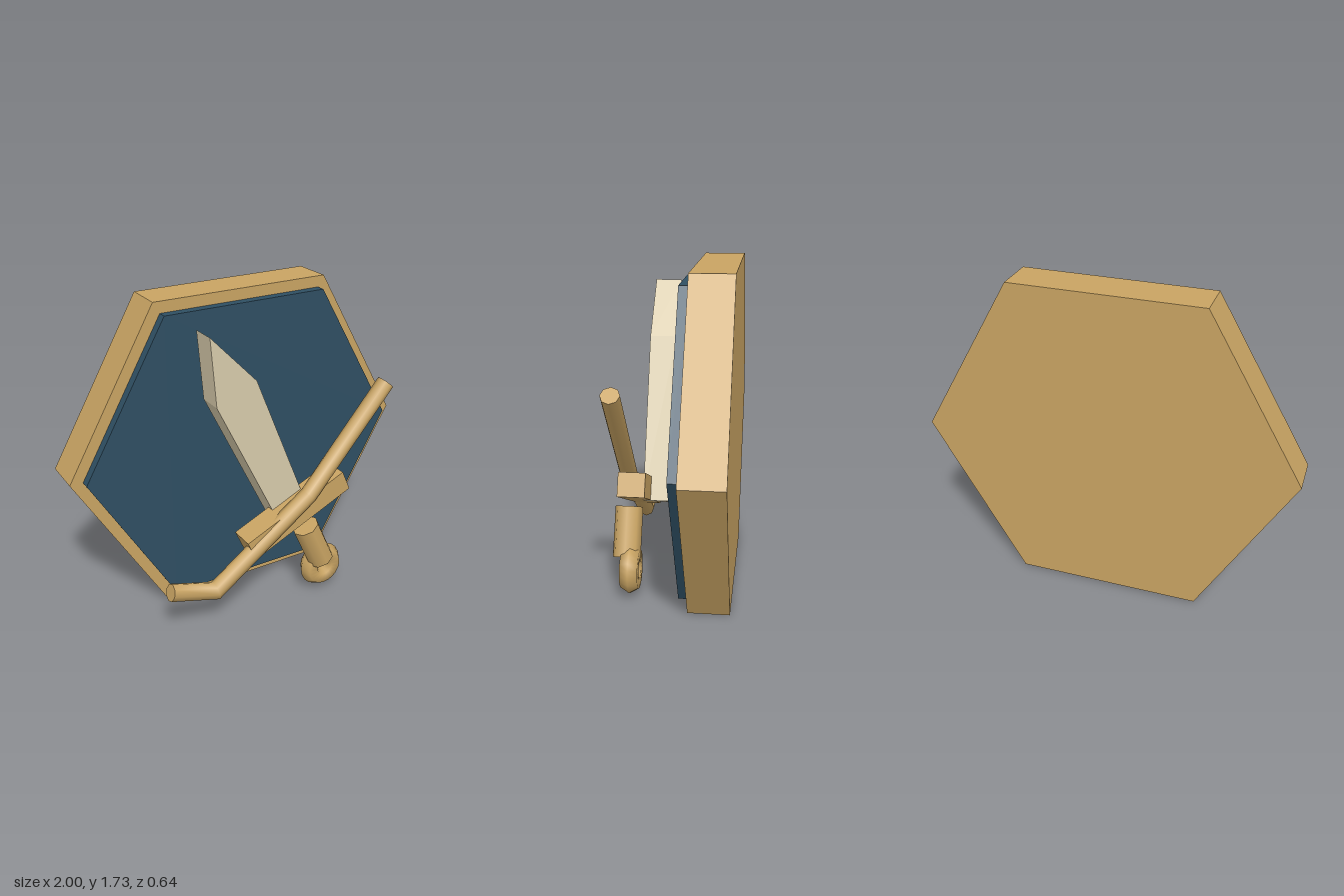
import * as THREE from 'three';

const gold = new THREE.MeshStandardMaterial({ name: 'gold', color: 0xc9a463 });
const navy = new THREE.MeshStandardMaterial({ name: 'navy', color: 0x2f4f63 });
const bone = new THREE.MeshStandardMaterial({ name: 'pale steel', color: 0xd8cbab });

const TILT = 0.42; // lean of the sword, in radians
const MID_Y = Math.sqrt(3) / 2;

// Flat outline pushed from z0 to z1
function slab(points, z0, z1) {
  const shape = new THREE.Shape(points.map(([x, y]) => new THREE.Vector2(x, y)));
  const geometry = new THREE.ExtrudeGeometry(shape, { depth: z1 - z0, bevelEnabled: false });
  return geometry.translate(0, 0, z0);
}

function hexagon(radius) {
  return Array.from({ length: 6 }, (_, i) => {
    const a = (i * Math.PI) / 3;
    return [radius * Math.cos(a), MID_Y + radius * Math.sin(a)];
  });
}

// Capped rod with mitred bends along points in the xy plane
function bentRod(points, radius, z) {
  const path = points.map(([x, y]) => new THREE.Vector2(x, y));
  const last = path.length - 1;
  const dirs = path.slice(1).map((p, i) => p.clone().sub(path[i]).normalize());
  const geometry = new THREE.CylinderGeometry(radius, radius, last, 8, last, false, Math.PI);
  const pos = geometry.attributes.position;
  for (let v = 0; v < pos.count; v++) {
    const i = Math.round(pos.getY(v) + last / 2);
    const before = dirs[Math.max(i - 1, 0)];
    const after = dirs[Math.min(i, last - 1)];
    const t = before.clone().add(after).normalize();
    const side = pos.getX(v) / t.dot(after);
    pos.setXYZ(v, path[i].x + t.y * side, path[i].y - t.x * side, z + pos.getZ(v));
  }
  geometry.computeVertexNormals();
  return geometry;
}

export function createModel() {
  const model = new THREE.Group();
  model.name = 'swordPlaque';

  function add(name, geometry, material, position = [0, 0, 0], tilt = 0) {
    const mesh = new THREE.Mesh(geometry, material);
    mesh.name = name;
    mesh.position.set(...position);
    mesh.rotation.z = tilt;
    model.add(mesh);
  }

  // Six-sided backing with raised field
  add('frame', slab(hexagon(1), -0.32, -0.1), gold);
  add('field', slab(hexagon(0.93), -0.1, -0.05), navy);

  // Sword: blade widens towards its point
  const bladeOutline = [[0.085, 0.44], [0.26, 0.515], [-0.07, 1.33], [-0.33, 1.6], [-0.3, 1.23]];
  add('blade', slab(bladeOutline, 0.02, 0.16), bone);
  add('guard', new THREE.BoxGeometry(0.66, 0.125, 0.14), gold, [0.145, 0.535, 0.19], TILT);
  add('grip', new THREE.CylinderGeometry(0.075, 0.075, 0.27, 8), gold, [0.247, 0.325, 0.245], TILT);
  add('pommel', new THREE.TorusGeometry(0.075, 0.055, 6, 20), gold, [0.32, 0.145, 0.22]);

  // Bent rod crossing in front of the sword
  const rodPath = [[-0.635, 0.298], [-0.372, 0.217], [0.21, 0.635], [0.693, 1.195]];
  add('bentRod', bentRod(rodPath, 0.048, 0.24), gold);

  return model;
}
